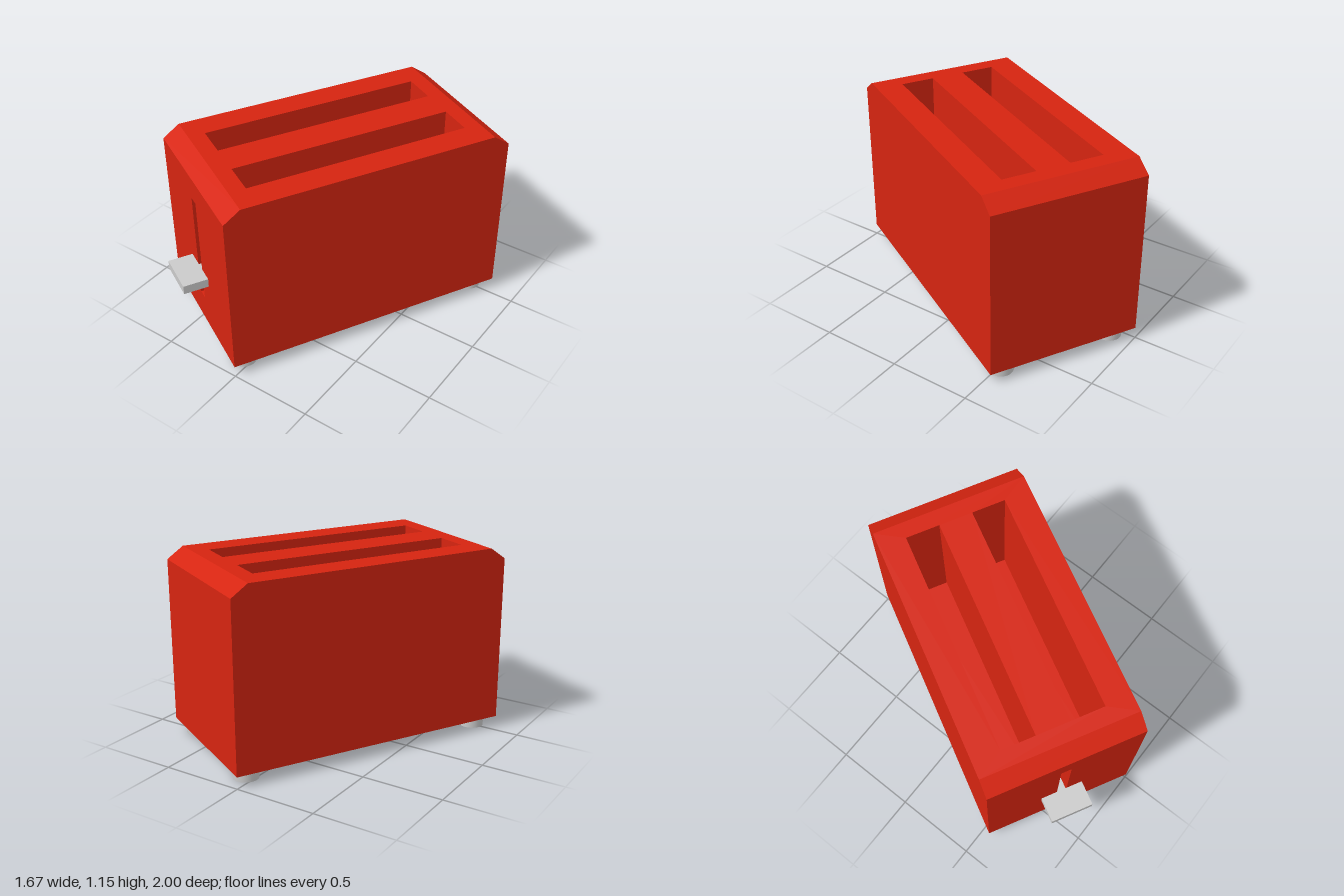
import * as THREE from 'three';
import { mergeGeometries } from 'three/addons/utils/BufferGeometryUtils.js';

const WIDTH = 0.944, LENGTH = 1.76, BOTTOM = 0.07, SHOULDER = 1.085, TOP = 1.155, CHAMFER = 0.1;

const rectPoints = (cx, cy, w, h) => [[-1, -1], [1, -1], [1, 1], [-1, 1]]
  .map(([sx, sy]) => new THREE.Vector2(cx + sx * w / 2, cy + sy * h / 2));

// Inside walls and floor of a recess that opens towards +z at z = 0
function pocketGeometry([cx, cy, w, h, depth]) {
  const g = new THREE.BoxGeometry(w, h, depth);
  const index = [...g.index.array];
  index.splice(24, 6); // leave the +z side open
  g.setIndex(index.reverse());
  g.clearGroups();
  const n = g.attributes.normal;
  for (let i = 0; i < n.count; i++) n.setXYZ(i, -n.getX(i), -n.getY(i), -n.getZ(i));
  return g.translate(cx, cy, -depth / 2);
}

// Flat panel centred on the origin, facing +z, with recesses cut into it
function panelGeometry(w, h, recesses = []) {
  const shape = new THREE.Shape(rectPoints(0, 0, w, h));
  for (const [cx, cy, rw, rh] of recesses) {
    shape.holes.push(new THREE.Path(rectPoints(cx, cy, rw, rh).reverse()));
  }
  return mergeGeometries([new THREE.ShapeGeometry(shape), ...recesses.map(pocketGeometry)]);
}

export function createModel() {
  const model = new THREE.Group();
  model.name = 'toaster';
  const toaster = new THREE.Group();
  toaster.name = 'turnedToaster';
  toaster.rotation.y = THREE.MathUtils.degToRad(-28.3);
  model.add(toaster);

  const red = new THREE.MeshStandardMaterial({ color: 0xd62410 });
  const grey = new THREE.MeshStandardMaterial({ color: 0xcccccc });
  const add = (name, geometry, material, x = 0, y = 0, z = 0) => {
    const mesh = new THREE.Mesh(geometry, material);
    mesh.name = name;
    mesh.position.set(x, y, z);
    toaster.add(mesh);
    return mesh;
  };

  // Side profile of the body as (z, y), from the front foot up and over to the back
  const half = LENGTH / 2;
  const profile = [
    [half, BOTTOM], [half, SHOULDER], [half - CHAMFER, TOP],
    [CHAMFER - half, TOP], [-half, SHOULDER], [-half, BOTTOM],
  ].map(([z, y]) => new THREE.Vector2(z, y));

  // Recesses as [x, y, width, height, depth] on their panel
  const leverSlot = [0, 0.02, 0.0625, 0.685, 0.15];
  const breadSlots = [-1, 1].map((s) => [s * 0.205, 0, 0.205, 1.36, 0.8]);
  const panels = [
    ['frontPanel', [leverSlot]], ['frontChamfer'], ['topPanel', breadSlots],
    ['backChamfer'], ['backPanel'], ['bottomPanel'],
  ];

  // One panel along each edge of the profile
  panels.forEach(([name, recesses], i) => {
    const a = profile[i], b = profile[(i + 1) % profile.length];
    const across = new THREE.Vector3(1, 0, 0);
    const along = new THREE.Vector3(0, b.y - a.y, b.x - a.x).normalize();
    const normal = new THREE.Vector3().crossVectors(across, along);
    const geometry = panelGeometry(WIDTH, a.distanceTo(b), recesses);
    geometry.applyMatrix4(new THREE.Matrix4().makeBasis(across, along, normal));
    add(name, geometry, red, 0, (a.y + b.y) / 2, (a.x + b.x) / 2);
  });

  // Side walls
  for (const s of [-1, 1]) {
    const wall = new THREE.ShapeGeometry(new THREE.Shape(profile)).rotateY(s * Math.PI / 2);
    add(s > 0 ? 'leftWall' : 'rightWall', wall, red, s * WIDTH / 2);
  }

  // Lever handle with its stem reaching into the slot
  add('leverHandle', new THREE.BoxGeometry(0.26, 0.055, 0.15), grey, 0, 0.443, half + 0.075);
  add('leverStem', new THREE.BoxGeometry(0.05, 0.05, 0.1), grey, 0, 0.443, half - 0.05);

  // Feet
  for (const sx of [-1, 1]) {
    for (const sz of [-1, 1]) {
      const foot = new THREE.CylinderGeometry(0.075, 0.075, BOTTOM, 32);
      add('foot', foot, grey, sx * 0.357, BOTTOM / 2, sz * 0.775);
    }
  }
  return model;
}
